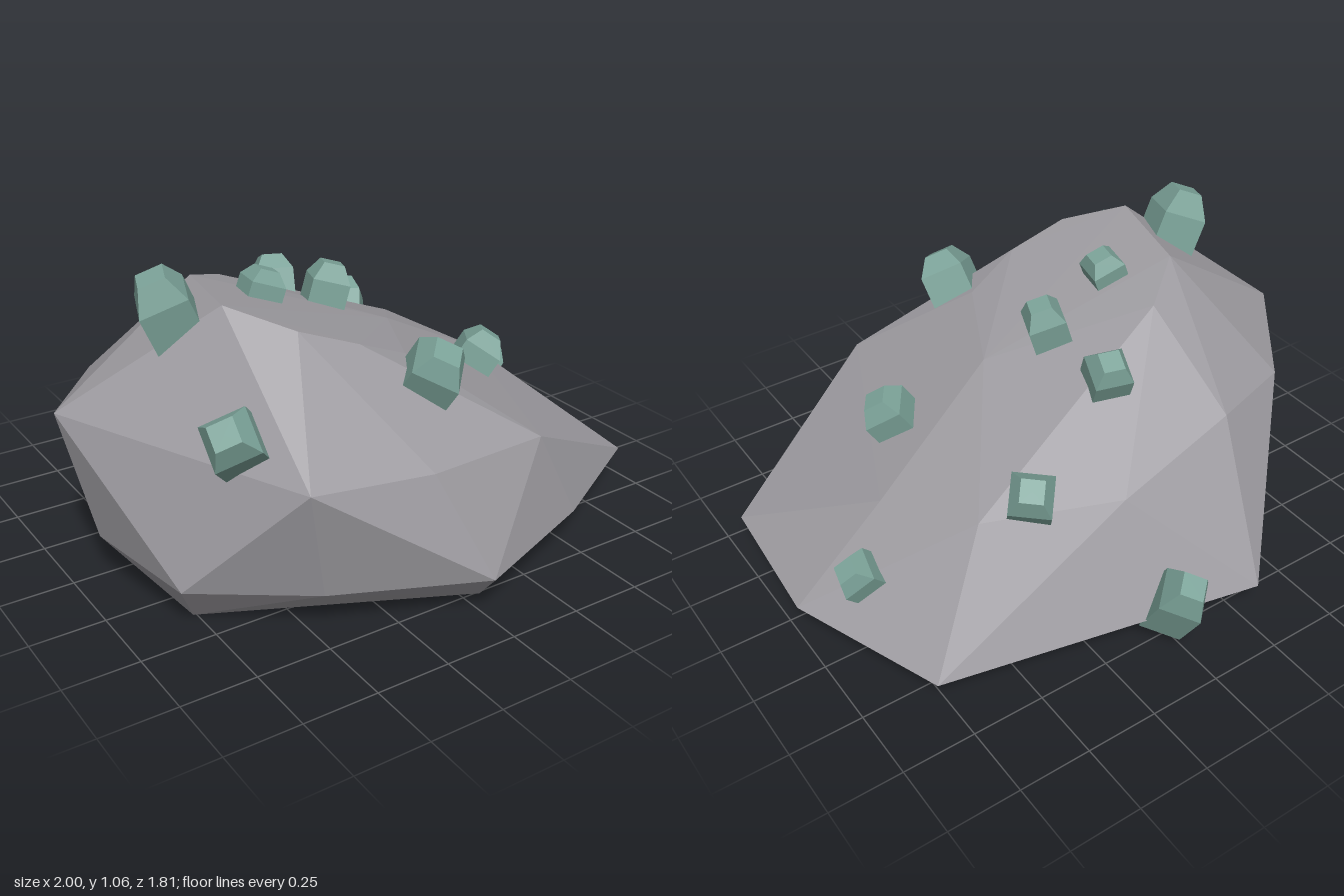
import * as THREE from 'three';
import { ConvexGeometry } from 'three/addons/geometries/ConvexGeometry.js';

const stone = new THREE.MeshStandardMaterial({ color: 0x9e9ca1, flatShading: true });
stone.name = 'grey stone';
const mineral = new THREE.MeshStandardMaterial({ color: 0x7ba298, flatShading: true });
mineral.name = 'pale green mineral';

// Corner points of the faceted boulder, from the ground up
const underside = [
  [0.57, 0.01, -0.46], [0.81, 0.02, 0.24], [0.35, 0.01, 0.59], [0.05, 0.01, 0.77],
  [-0.76, 0, 0.37], [-0.73, 0, 0.06], [-0.66, 0.02, -0.46], [-0.3, 0.01, -0.62],
];
const rim = [
  [0.79, 0.11, -0.61], [1, 0.125, -0.08], [0.965, 0.125, 0.43], [0.5, 0.135, 0.7],
  [0, 0.145, 0.9], [-0.48, 0.145, 0.69], [-0.84, 0.155, 0.46], [-0.91, 0.16, 0.03],
  [-0.3, 0.12, -0.85],
];
const flanks = [
  [-1, 0.59, -0.04], [-0.57, 0.54, 0.76], [-0.15, 0.5, 0.78], [0.33, 0.46, 0.7],
  [0.67, 0.42, -0.08], [0.51, 0.49, -0.42], [0.06, 0.48, -0.58], [-0.38, 0.6, -0.54],
  [-0.73, 0.55, -0.4],
];
const crest = [
  [-0.57, 0.955, 0.27], [-0.5, 0.935, -0.07], [-0.33, 0.865, -0.2], [-0.4, 0.885, 0.42],
  [-0.2, 0.81, 0.45], [0, 0.72, 0.41], [0.17, 0.69, 0.07],
];

// Crystals: position, growth direction, width, length, spin about the growth direction
const crystals = [
  [[-0.68, 0.92, 0.13], [-0.4, 0.9, 0], 0.16, 0.25, 0.4],
  [[-0.69, 0.65, 0.54], [-0.55, 0.6, 0.5], 0.15, 0.2, 0.5],
  [[0, 0.71, 0.56], [0.1, 0.75, 0.5], 0.16, 0.2, 0.1],
  [[-0.31, 0.89, 0.05], [0.35, 0.93, 0], 0.12, 0.13, 0.6],
  [[-0.02, 0.81, -0.02], [0.3, 0.95, 0], 0.13, 0.18, 0.4],
  [[-0.06, 0.76, -0.31], [0.15, 0.85, -0.4], 0.13, 0.17, 0.5],
  [[0.34, 0.54, -0.46], [0.3, 0.75, -0.5], 0.14, 0.19, 0.1],
  [[0.48, 0.53, 0.18], [0.5, 0.8, 0.2], 0.14, 0.17, 0.15],
  [[0.83, 0.28, -0.21], [0.65, 0.7, -0.1], 0.12, 0.15, 0.5],
  [[0, 0.18, -0.795], [0, 0.85, -0.5], 0.145, 0.26, 0],
];

// Square prism with a bevelled top
function makeCrystal([position, direction, width, length, spin]) {
  const r = width * 0.7;
  const profile = [[0, -0.5], [r, -0.5], [r, 0.18], [r * 0.55, 0.5], [0, 0.5]]
    .map(([x, y]) => new THREE.Vector2(x, y * length));
  const mesh = new THREE.Mesh(new THREE.LatheGeometry(profile, 4), mineral);
  mesh.position.set(...position);
  mesh.quaternion.setFromUnitVectors(
    new THREE.Vector3(0, 1, 0), new THREE.Vector3(...direction).normalize());
  mesh.rotateY(spin);
  mesh.name = 'crystal';
  return mesh;
}

export function createModel() {
  const model = new THREE.Group();
  model.name = 'crystalBoulder';

  // Faceted boulder
  const corners = [...underside, ...rim, ...flanks, ...crest].map((p) => new THREE.Vector3(...p));
  const boulder = new THREE.Mesh(new ConvexGeometry(corners), stone);
  boulder.name = 'boulder';
  model.add(boulder);

  // Crystals growing from the surface
  const cluster = new THREE.Group();
  cluster.name = 'crystals';
  crystals.forEach((c) => cluster.add(makeCrystal(c)));
  model.add(cluster);

  return model;
}
